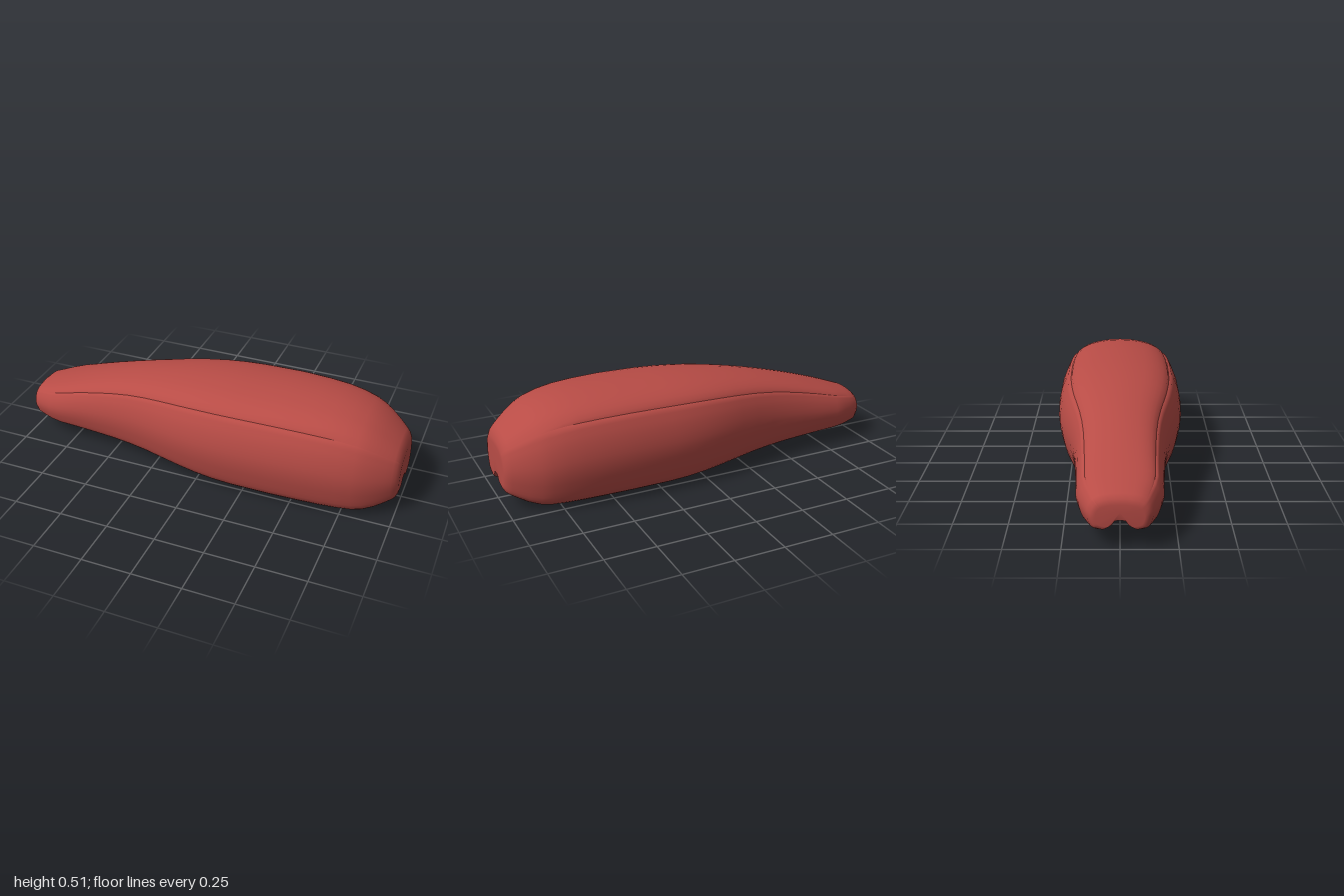
import * as THREE from 'three';

// Stations along the length: x, top y, bottom y, half width
const STATIONS = [
  [-1, 0.205, 0.105, 0.105], [-0.995, 0.23, 0.092, 0.125], [-0.975, 0.248, 0.083, 0.142],
  [-0.93, 0.264, 0.077, 0.16], [-0.88, 0.283, 0.073, 0.18], [-0.82, 0.304, 0.07, 0.194],
  [-0.7, 0.345, 0.064, 0.199], [-0.6, 0.376, 0.059, 0.205], [-0.5, 0.404, 0.054, 0.213],
  [-0.4, 0.429, 0.048, 0.226], [-0.3, 0.45, 0.041, 0.245], [-0.2, 0.468, 0.032, 0.269],
  [-0.1, 0.483, 0.023, 0.292], [0, 0.495, 0.013, 0.309], [0.1, 0.503, 0.006, 0.32],
  [0.2, 0.508, 0.003, 0.325], [0.4, 0.512, 0.002, 0.325], [0.55, 0.508, 0.001, 0.317],
  [0.65, 0.501, 0, 0.307], [0.73, 0.488, 0, 0.295], [0.8, 0.468, 0.002, 0.279],
  [0.85, 0.445, 0.009, 0.26], [0.9, 0.411, 0.026, 0.232], [0.94, 0.379, 0.046, 0.206],
  [0.97, 0.354, 0.062, 0.182], [0.985, 0.338, 0.072, 0.168], [0.997, 0.31, 0.09, 0.15],
  [1, 0.285, 0.105, 0.132],
];

// Outer half profile as fractions of half width and height, above and below the seam
const UPPER = [[0, 1], [0.2, 0.995], [0.4, 0.976], [0.52, 0.957], [0.62, 0.933], [0.7, 0.905], [0.77, 0.87]];
const LOWER = [[0.84, 0.83], [0.87, 0.795], [0.91, 0.74], [0.95, 0.675], [0.98, 0.59], [0.995, 0.52],
  [1, 0.45], [0.99, 0.37], [0.97, 0.3], [0.94, 0.215], [0.91, 0.15], [0.88, 0.1]];
// Rounded underside lobe: fraction from the outer edge to the channel, height fraction
const LOBE = [[0.9, 0.07], [0.75, 0.042], [0.5, 0.016], [0.25, 0.001], [0.1, 0.002]];
// Underside channel wall, constant along the whole length: y, z
const CHANNEL = [[0, 0.14], [0.01, 0.132], [0.05, 0.1], [0.09, 0.07], [0.115, 0.034], [0.133, 0.024]];
const CHANNEL_TOP = 0.135;

function channelHalfWidth(y) {
  for (let i = 1; i < CHANNEL.length; i++) {
    const [y0, z0] = CHANNEL[i - 1], [y1, z1] = CHANNEL[i];
    if (y <= y1) return z0 + (z1 - z0) * (y - y0) / (y1 - y0);
  }
  return CHANNEL[CHANNEL.length - 1][1];
}

// Closed cross-section from the top centre round the +z side, then mirrored
function section([x, top, bottom, half]) {
  const h = top - bottom, edge = channelHalfWidth(bottom + 0.008 * h);
  const place = ([z, y]) => [z * half, bottom + y * h];
  // The seam groove fades out towards both ends
  const fade = Math.min(1, Math.max(0, (x + 0.95) / 0.1)) * Math.min(1, Math.max(0, (0.8 - x) / 0.15));
  const seam = place([0.805 - 0.012 * fade, 0.85 - 0.012 * fade]);
  const pts = [...UPPER.map(place), seam, seam, ...LOWER.map(place)];
  for (const [f, y] of LOBE) pts.push([edge + f * (0.88 * half - edge), bottom + y * h]);
  for (const u of [0, 0.2, 0.4, 0.6, 0.8, 0.93]) {
    const y0 = bottom + 0.008 * h, y = y0 + u * (0.133 - y0);
    pts.push([channelHalfWidth(y), y]);
  }
  pts.push([0.024, 0.133], [0.024, 0.133], [0, CHANNEL_TOP]);
  const mirrored = pts.slice(1, -1).reverse().map(([z, y]) => [-z, y]);
  return [...pts, ...mirrored].map(([z, y]) => [x, y, z]);
}

function loft() {
  const rings = STATIONS.map(section), n = rings[0].length, last = rings.length - 1;
  const positions = rings.flat(2), index = [];
  for (let i = 0; i < last; i++) {
    for (let j = 0; j < n; j++) {
      const k = (j + 1) % n;
      const a = i * n + j, b = i * n + k, c = a + n, d = b + n;
      index.push(a, b, c, b, d, c);
    }
  }
  // End faces
  for (const i of [0, last]) {
    const centre = positions.length / 3;
    const [x, top] = STATIONS[i];
    positions.push(x, (top + CHANNEL_TOP) / 2, 0);
    for (let j = 0; j < n; j++) {
      const a = i * n + j, b = i * n + (j + 1) % n;
      if (i === 0) index.push(centre, b, a);
      else index.push(centre, a, b);
    }
  }
  const geometry = new THREE.BufferGeometry();
  geometry.setAttribute('position', new THREE.Float32BufferAttribute(positions, 3));
  geometry.setIndex(index);
  geometry.computeVertexNormals();
  return geometry;
}

export function createModel() {
  const red = new THREE.MeshStandardMaterial({ color: 0xb84c46 });
  red.name = 'warm red';
  const shell = new THREE.Mesh(loft(), red);
  shell.name = 'channelledShell';
  const model = new THREE.Group();
  model.name = 'taperedShell';
  model.add(shell);
  return model;
}
